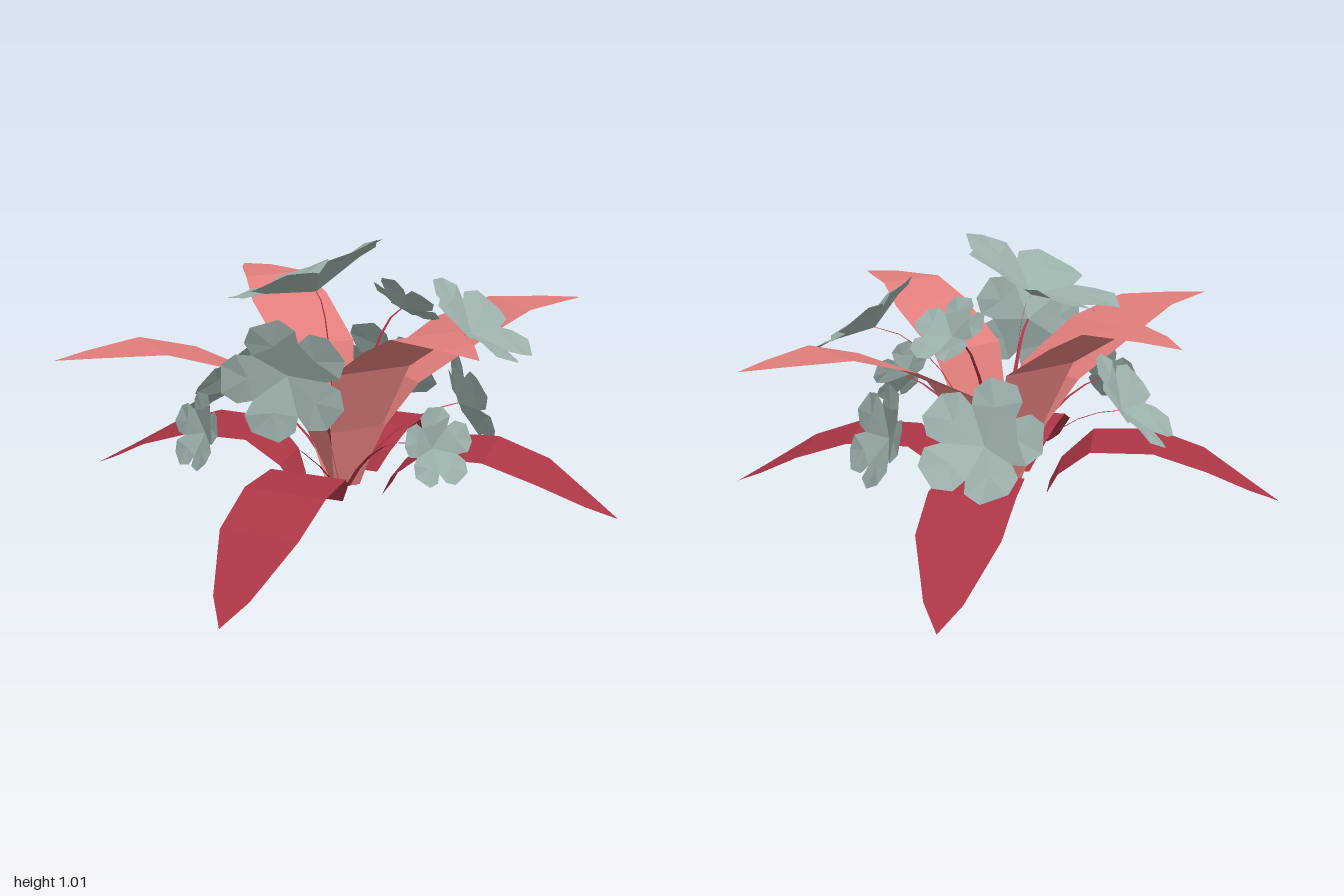
import * as THREE from 'three';

const mat = (name, color) => {
  const m = new THREE.MeshStandardMaterial({ color, flatShading: true, side: THREE.DoubleSide });
  m.name = name;
  return m;
};

function geometryFrom(positions, index) {
  const g = new THREE.BufferGeometry();
  g.setAttribute('position', new THREE.Float32BufferAttribute(positions, 3));
  g.setIndex(index);
  const flat = g.toNonIndexed();
  flat.computeVertexNormals();
  return flat;
}

// Flat strip running along +x; each row is [distance, height, half width]
function stripGeometry(rows) {
  const pos = [], idx = [];
  rows.forEach(([r, y, w], i) => {
    pos.push(r, y, -w, r, y, w);
    if (i) {
      const a = 2 * (i - 1);
      idx.push(a, a + 1, a + 2, a + 1, a + 3, a + 2);
    }
  });
  return geometryFrom(pos, idx);
}

// Cupped five petal flower of radius 1 facing +y; each petal is a fan around its middle
function flowerGeometry() {
  const middle = [0, 0.58, -0.01];
  const rim = [[0, 0, -0.24], [-36, 0.64, -0.04], [-29, 0.87, 0.06], [-13, 1.02, 0.05],
    [13, 1.02, 0.08], [29, 0.87, 0], [36, 0.64, -0.04]];
  const pos = [], idx = [];
  for (let p = 0; p < 5; p++) {
    const start = pos.length / 3;
    for (const [offset, r, h] of [middle, ...rim]) {
      const a = THREE.MathUtils.degToRad(p * 72 + offset);
      pos.push(r * Math.sin(a), h, r * Math.cos(a));
    }
    rim.forEach((_, i) => idx.push(start, start + 1 + i, start + 1 + (i + 1) % rim.length));
  }
  return geometryFrom(pos, idx);
}

export function createModel() {
  const group = new THREE.Group();
  const salmon = mat('salmon leaf', 0xdf7d7b);
  const crimson = mat('crimson leaf and stem', 0xad3646);
  const petal = mat('grey green petal', 0x9bafaa);

  const add = (name, geometry, material) => {
    const m = new THREE.Mesh(geometry, material);
    m.name = name;
    group.add(m);
    return m;
  };

  // Leaves: each kind is repeated on opposite sides
  const sideLeaf = stripGeometry([
    [0.03, 0.13, 0.04], [0.11, 0.36, 0.105], [0.21, 0.51, 0.155],
    [0.47, 0.645, 0.172], [0.68, 0.71, 0.132], [0.88, 0.706, 0.055], [1.0, 0.7, 0],
  ]);
  const frontLeaf = stripGeometry([
    [0.03, 0.13, 0.05], [0.1, 0.36, 0.1], [0.2, 0.59, 0.145],
    [0.42, 0.72, 0.15], [0.54, 0.785, 0.122], [0.72, 0.785, 0.06], [0.84, 0.775, 0],
  ]);
  const lowLeaf = stripGeometry([
    [0.16, 0.13, 0.065], [0.2, 0.2, 0.1], [0.3, 0.265, 0.135], [0.48, 0.262, 0.142],
    [0.67, 0.19, 0.134], [0.86, 0.06, 0.06], [0.94, 0, 0],
  ]);
  const midLeaf = stripGeometry([
    [0.16, 0.13, 0.065], [0.2, 0.21, 0.1], [0.31, 0.305, 0.14], [0.52, 0.31, 0.15],
    [0.7, 0.25, 0.14], [0.85, 0.165, 0.065], [0.955, 0.11, 0],
  ]);
  const leaves = [
    ['sideLeaf', sideLeaf, salmon, 0],
    ['frontLeaf', frontLeaf, salmon, Math.PI / 2],
    ['lowLeaf', lowLeaf, crimson, Math.atan2(0.6, 0.72)],
    ['midLeaf', midLeaf, crimson, -Math.PI / 4],
  ];
  for (const [name, geometry, material, angle] of leaves) {
    for (const turn of [0, Math.PI]) add(name, geometry, material).rotation.y = angle + turn;
  }

  // Flowers: centre, facing direction, radius, spin in degrees
  const flowers = [
    [[-0.085, 0.875, -0.09], [-0.27, 1, -0.33], 0.285, 22],
    [[-0.28, 0.46, -0.35], [-0.4, 0.65, -0.6], 0.195, 34],
    [[0.355, 0.735, 0.3], [0.4, 0.8, 0.45], 0.207, 0],
    [[0.36, 0.445, -0.34], [0.68, 0.6, -0.45], 0.205, 4],
    [[-0.365, 0.63, 0.31], [-0.55, -0.1, 0.8], 0.2, 18],
    [[0.03, 0.43, 0.575], [0.1, 0.35, 1], 0.127, 36],
    [[0.48, 0.39, 0.05], [1, 0.35, 0.15], 0.172, 34],
    [[0.29, 0.74, -0.08], [0.6, 0.7, -0.15], 0.133, 0],
    [[-0.57, 0.43, 0.08], [-1, 0.3, 0.15], 0.127, 30],
  ];
  const bloom = flowerGeometry();
  const up = new THREE.Vector3(0, 1, 0);
  for (const [[x, y, z], facing, radius, spin] of flowers) {
    const direction = new THREE.Vector3(...facing).normalize();
    const flower = add('flower', bloom, petal);
    flower.position.set(x, y, z);
    flower.scale.setScalar(radius);
    flower.quaternion.setFromUnitVectors(up, direction);
    flower.rotateY(THREE.MathUtils.degToRad(spin));

    // Thin ribbon stem arching out from the heart of the plant
    const end = new THREE.Vector3(x, y, z).addScaledVector(direction, -0.24 * radius);
    const reach = Math.hypot(end.x, end.z);
    const curve = new THREE.QuadraticBezierCurve(
      new THREE.Vector2(0.03, 0.13),
      new THREE.Vector2(reach * 0.42, 0.13 + (end.y - 0.13) * 0.95),
      new THREE.Vector2(reach, end.y),
    );
    const rows = curve.getPoints(6).map((p, i) => [p.x, p.y, 0.01 - 0.001 * i]);
    add('stem', stripGeometry(rows), crimson).rotation.y = Math.atan2(-end.z, end.x);
  }
  return group;
}
